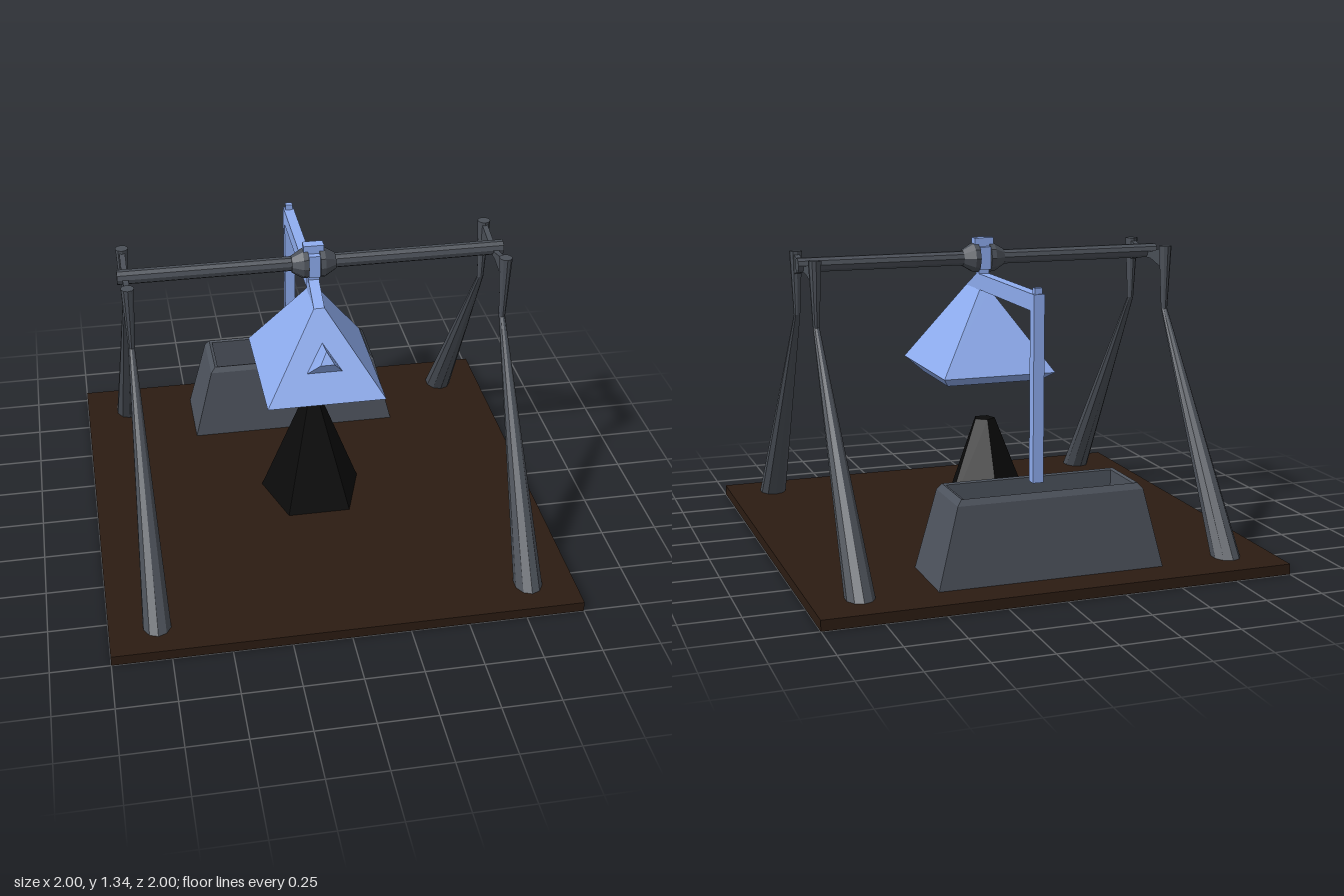
import * as THREE from 'three';
import { ConvexGeometry } from 'three/addons/geometries/ConvexGeometry.js';

const mat = (color) => new THREE.MeshStandardMaterial({ color, flatShading: true });
const wood = mat(0x2c1c12), iron = mat(0x4a4f57), stone = mat(0x4d535d);
const blue = mat(0x8fadf0), black = mat(0x0b0b0b);

// Horizontal cross-sections, both wound the same way
const rect = (hx, z0, z1, y) =>
  [[-hx, z1], [hx, z1], [hx, z0], [-hx, z0]].map(([x, z]) => [x, y, z]);
const oval = (rx, rz, y, cz, n = 10) => Array.from({ length: n }, (_, i) => {
  const a = (i / n) * Math.PI * 2;
  return [rx * Math.sin(a), y, cz + rz * Math.cos(a)];
});

// Skin a stack of cross-sections and cap both ends
function loft(rings) {
  const pos = [], n = rings[0].length, last = rings[rings.length - 1];
  const tri = (a, b, c) => pos.push(...a, ...b, ...c);
  for (let r = 0; r < rings.length - 1; r++) {
    for (let i = 0; i < n; i++) {
      const j = (i + 1) % n, lo = rings[r], hi = rings[r + 1];
      tri(lo[i], lo[j], hi[j]);
      tri(lo[i], hi[j], hi[i]);
    }
  }
  for (let i = 1; i < n - 1; i++) {
    tri(rings[0][0], rings[0][i + 1], rings[0][i]);
    tri(last[0], last[i], last[i + 1]);
  }
  const g = new THREE.BufferGeometry();
  g.setAttribute('position', new THREE.Float32BufferAttribute(pos, 3));
  g.computeVertexNormals();
  return g;
}

export function createModel() {
  const model = new THREE.Group();
  const add = (name, geo, material, parent = model) => {
    const m = new THREE.Mesh(geo, material);
    m.name = name;
    parent.add(m);
    return m;
  };
  const box = (name, hx, y0, y1, z0, z1, material, parent) => {
    const m = add(name, new THREE.BoxGeometry(2 * hx, y1 - y0, z1 - z0), material, parent);
    m.position.set(0, (y0 + y1) / 2, (z0 + z1) / 2);
    return m;
  };

  box('base', 1, 0, 0.045, -1, 1, wood);

  // Trestles: two splayed legs and a waisted cradle at each end
  const zc = 0.013;
  const cradle = new THREE.Shape([
    [-0.17, 1.19], [-0.055, 1.22], [0.055, 1.22], [0.17, 1.19],
    [0.17, 1.28], [0.055, 1.25], [-0.055, 1.25], [-0.17, 1.28],
  ].map(([z, y]) => new THREE.Vector2(z, y)));
  for (const side of [-1, 1]) {
    const trestle = new THREE.Group();
    trestle.name = side > 0 ? 'leftTrestle' : 'rightTrestle';
    trestle.position.set(side * 0.798, 0, zc);
    model.add(trestle);
    for (const s of [-1, 1]) {
      add(s > 0 ? 'frontLeg' : 'rearLeg', loft([
        oval(0.061, 0.073, 0.04, s * 0.826),
        oval(0.014, 0.014, 1.01, s * 0.181),
        oval(0.028, 0.028, 1.29, s * 0.179),
      ]), iron, trestle);
    }
    const g = new THREE.ExtrudeGeometry(cradle, { depth: 0.024, bevelEnabled: false });
    g.translate(0, 0, -0.012).rotateY(-Math.PI / 2);
    add('cradle', g, iron, trestle);
  }

  // Crossbar with a split hub in the middle
  const bar = add('crossbar', new THREE.CylinderGeometry(0.032, 0.032, 1.665, 10), iron);
  bar.rotation.z = Math.PI / 2;
  bar.position.set(0, 1.25, 0.017);
  const hubProfile = [[0, 0.025], [0.065, 0.025], [0.065, 0.047], [0.036, 0.095], [0, 0.095]]
    .map(([r, h]) => new THREE.Vector2(r, h));
  for (const side of [-1, 1]) {
    const hub = add(side > 0 ? 'leftHub' : 'rightHub', new THREE.LatheGeometry(hubProfile, 10), iron);
    hub.rotation.z = -side * Math.PI / 2;
    hub.position.set(0, 1.25, 0.022);
  }

  // Hanging head with its hanger, spout and rear arm
  const head = new THREE.Group();
  head.name = 'hangingHead';
  model.add(head);
  add('headBody', loft([
    rect(0.215, -0.14, 0.205, 0.715),
    rect(0.255, -0.217, 0.385, 0.76),
    rect(0.023, -0.01, 0.175, 1.11),
    rect(0.023, -0.01, 0.03, 1.18),
  ]), blue, head);
  add('spout', new ConvexGeometry([
    [0, 1.005, 0.355], [-0.03, 0.955, 0.385], [0.03, 0.955, 0.385],
    [-0.075, 0.88, 0.318], [0.075, 0.88, 0.318], [0, 0.985, 0.25],
    [-0.07, 0.88, 0.29], [0.07, 0.88, 0.29],
  ].map((p) => new THREE.Vector3(...p))), blue, head);
  box('hanger', 0.024, 1.1, 1.335, -0.002, 0.04, blue, head);
  box('hangerLoop', 0.024, 1.2, 1.3, -0.025, 0.068, blue, head);
  box('hangerCap', 0.044, 1.31, 1.338, -0.004, 0.042, blue, head);
  box('arm', 0.023, 1.11, 1.18, -0.67, 0.03, blue, head);
  box('post', 0.023, 0.4, 1.12, -0.67, -0.625, blue, head);
  box('postNub', 0.016, 1.17, 1.205, -0.66, -0.635, blue, head);

  // Five-sided pedestal under the head
  const pedestal = add('pedestal', new THREE.CylinderGeometry(0.048, 0.24, 0.49, 5), black);
  pedestal.rotation.y = Math.PI;
  pedestal.position.y = 0.285;

  // Open trough with a bevelled rim
  add('trough', loft([
    rect(0.487, -0.85, -0.52, 0.04),
    rect(0.4, -0.828, -0.55, 0.38),
    rect(0.38, -0.815, -0.563, 0.405),
    rect(0.366, -0.803, -0.575, 0.4),
    rect(0.366, -0.803, -0.575, 0.1),
  ]), stone);

  return model;
}
